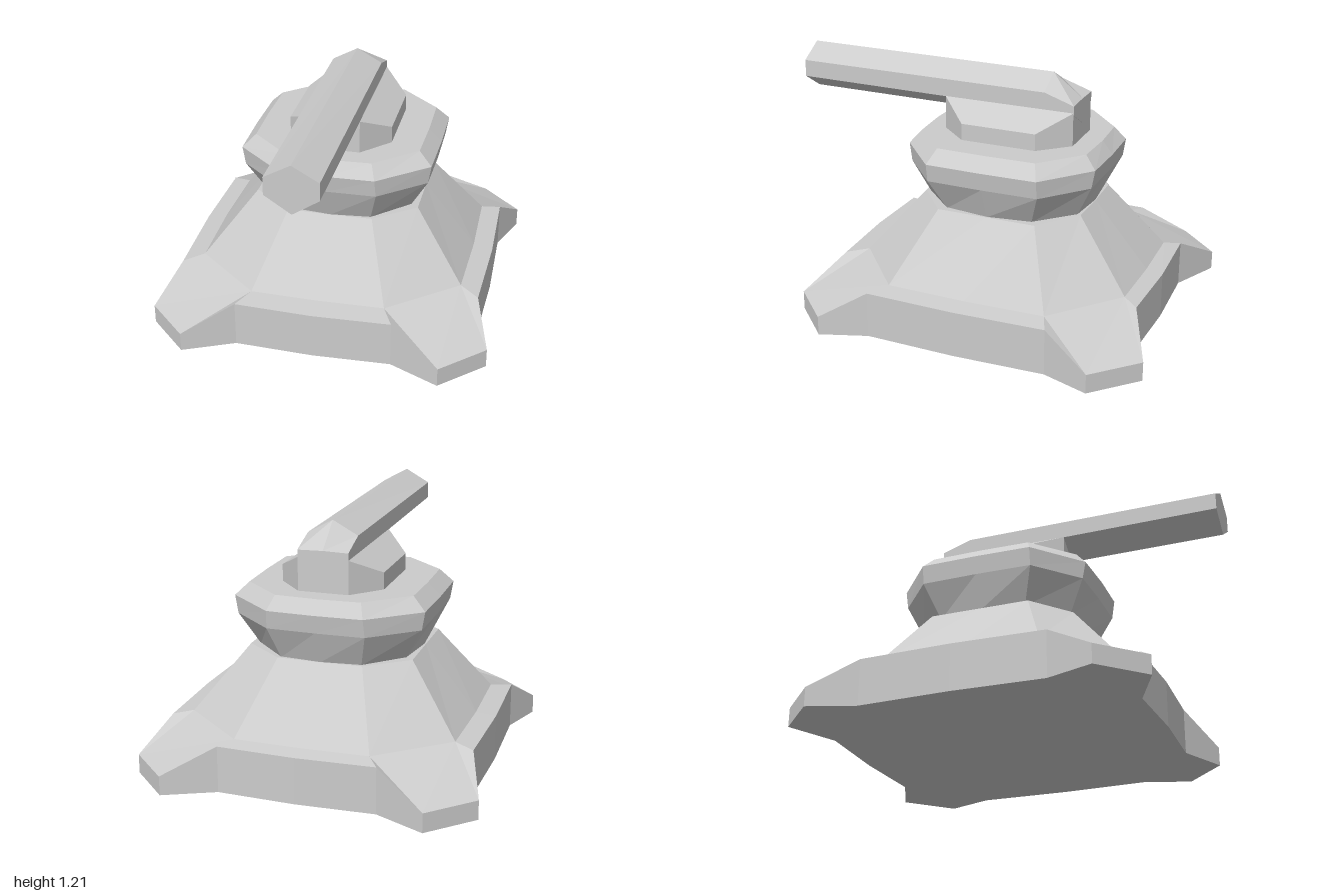
import * as THREE from 'three';

const material = new THREE.MeshStandardMaterial({ color: 0xcccccc, flatShading: true });

// Full closed ring from one quarter [x, y, dz], running from the side axis to the back axis
function ring(quarter, cz, y) {
  const inner = quarter.slice(1, -1);
  const back = quarter[quarter.length - 1];
  const place = (sx, sz) => ([x, py, dz]) => [x * sx, y ?? py, cz + dz * sz];
  const reversed = [...inner].reverse();
  return [
    place(1, -1)(quarter[0]), ...inner.map(place(1, -1)),
    place(1, -1)(back), ...reversed.map(place(-1, -1)),
    place(-1, 1)(quarter[0]), ...inner.map(place(-1, 1)),
    place(1, 1)(back), ...reversed.map(place(1, 1)),
  ];
}

// Flat-faced skin through equal-length rings, closed at both ends
function loft(name, rings) {
  const positions = [];
  const tri = (...p) => {
    const [a, b, c] = p.map((v) => new THREE.Vector3(...v));
    if (b.clone().sub(a).cross(c.clone().sub(a)).length() > 1e-7) positions.push(...p.flat());
  };
  const n = rings[0].length;
  const centre = (r) => [0, 1, 2].map((k) => r.reduce((s, p) => s + p[k], 0) / n);
  const first = rings[0], last = rings[rings.length - 1];
  const c0 = centre(first), c1 = centre(last);
  for (let i = 0; i < n; i++) {
    const j = (i + 1) % n;
    for (let k = 0; k < rings.length - 1; k++) {
      const lo = rings[k], hi = rings[k + 1];
      tri(lo[i], lo[j], hi[j]);
      tri(lo[i], hi[j], hi[i]);
    }
    tri(c0, first[j], first[i]);
    tri(c1, last[i], last[j]);
  }
  const geometry = new THREE.BufferGeometry();
  geometry.setAttribute('position', new THREE.Float32BufferAttribute(positions, 3));
  geometry.computeVertexNormals();
  const mesh = new THREE.Mesh(geometry, material);
  mesh.name = name;
  return mesh;
}

export function createModel() {
  const group = new THREE.Group();
  group.name = 'turret';
  const cz = -0.125;

  // Base slab with four splayed feet, rising to an eight-sided rim
  const foot = [[0.768, 0.23, 0], [0.755, 0.23, 0.455], [0.835, 0.095, 0.685],
    [0.63, 0.095, 0.887], [0.385, 0.23, 0.772], [0, 0.23, 0.787]];
  const rim = [[0.67, 0.245, 0], [0.66, 0.245, 0.4], [0.66, 0.245, 0.4],
    [0.33, 0.245, 0.682], [0.33, 0.245, 0.682], [0, 0.245, 0.69]];
  group.add(loft('base', [ring(foot, -0.11, 0), ring(foot, -0.11), ring(rim, cz)]));

  // Tapered pedestal
  const pedestalTop = [[0.41, 0.57, 0], [0.41, 0.57, 0.25], [0.21, 0.57, 0.41], [0, 0.57, 0.415]];
  const pedestalFoot = [rim[0], rim[1], rim[3], rim[5]];
  group.add(loft('pedestal', [ring(pedestalFoot, cz), ring(pedestalTop, cz)]));

  // Flared rotating collar
  const collar = [
    [[0.4, 0.565, 0], [0.37, 0.565, 0.22], [0.2, 0.565, 0.39], [0, 0.565, 0.41]],
    [[0.465, 0.73, 0], [0.46, 0.73, 0.28], [0.24, 0.73, 0.47], [0, 0.73, 0.475]],
    [[0.48, 0.82, 0], [0.475, 0.82, 0.28], [0.235, 0.82, 0.485], [0, 0.82, 0.492]],
    [[0.415, 0.885, 0], [0.41, 0.885, 0.25], [0.21, 0.885, 0.43], [0, 0.885, 0.44]],
  ];
  group.add(loft('collar', collar.map((q) => ring(q, cz))));

  // Gun mount with sloping shoulders
  const shoulder = [[0.255, 0.968, 0], [0.255, 0.968, 0.19], [0.125, 1.05, 0.333], [0, 1.05, 0.333]];
  const ridge = [[0.125, 1.05, 0], [0.125, 1.05, 0.19], [0.125, 1.05, 0.333], [0, 1.05, 0.333]];
  const mount = loft('mount', [ring(shoulder, cz, 0.88), ring(shoulder, cz), ring(ridge, cz)]);
  mount.position.x = 0.006;
  group.add(mount);

  // Six-sided barrel with a bevelled breech at the back
  const section = (z, top, upper, lower, bottom) => [
    [0.125, upper, z], [0.125, lower, z], [0, bottom, z],
    [-0.125, lower, z], [-0.125, upper, z], [0, top, z],
  ];
  const barrel = loft('barrel', [
    section(1, 1.21, 1.14, 1.055, 0.973),
    section(-0.31, 1.203, 1.135, 1.045, 0.965),
    section(-0.46, 1.088, 1.085, 1.04, 0.965),
  ]);
  barrel.position.x = 0.006;
  group.add(barrel);

  return group;
}
